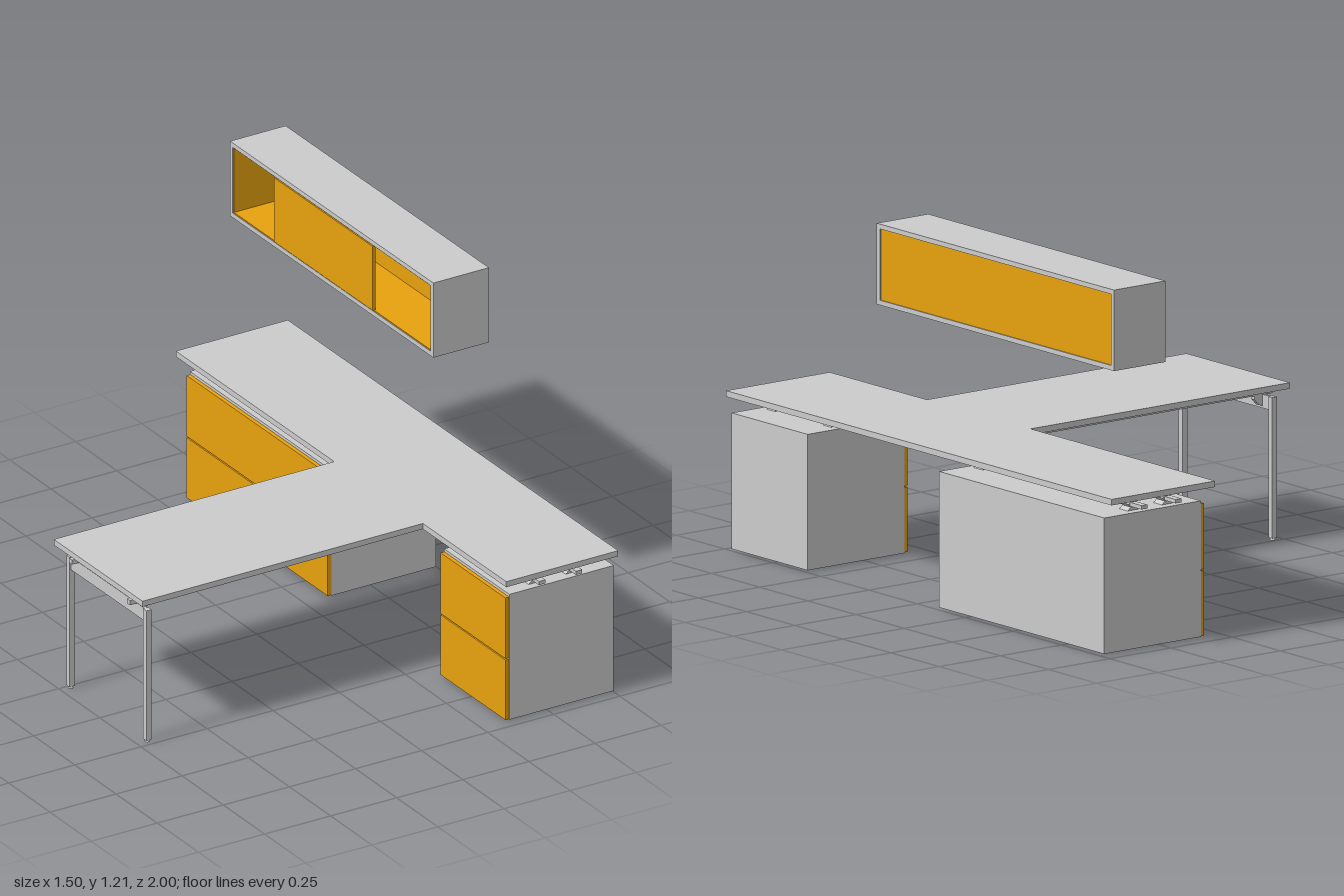
import * as THREE from 'three';

const grey = new THREE.MeshStandardMaterial({ color: 0xcccccc });
const orange = new THREE.MeshStandardMaterial({ color: 0xe8a20e });

// Box given by its extents along each axis
function box(parent, name, [x0, x1], [y0, y1], [z0, z1], material = grey) {
  const mesh = new THREE.Mesh(new THREE.BoxGeometry(x1 - x0, y1 - y0, z1 - z0), material);
  mesh.position.set((x0 + x1) / 2, (y0 + y1) / 2, (z0 + z1) / 2);
  mesh.name = name;
  parent.add(mesh);
  return mesh;
}

// Profile in x and y, extruded along z from z0 to z1
function prism(parent, name, points, z0, z1) {
  const shape = new THREE.Shape(points.map(([x, y]) => new THREE.Vector2(x, y)));
  const mesh = new THREE.Mesh(new THREE.ExtrudeGeometry(shape, { depth: z1 - z0, bevelEnabled: false }), grey);
  mesh.position.z = z0;
  mesh.name = name;
  parent.add(mesh);
}

function group(parent, name) {
  const g = new THREE.Group();
  g.name = name;
  parent.add(g);
  return g;
}

// Floor cabinet with two drawer fronts facing -x
function pedestal(parent, name, z) {
  const g = group(parent, name);
  box(g, 'carcass', [0.347, 0.743], [0.006, 0.454], z);
  for (const y of [[0.008, 0.222], [0.227, 0.444]]) {
    box(g, 'drawerFront', [0.333, 0.347], y, [z[0] + 0.002, z[1] - 0.002], orange);
  }
}

// Open wall cabinet with an orange lining and one sliding door
function wallCabinet(parent) {
  const g = group(parent, 'wallCabinet');
  const x = [0.527, 0.738], y = [0.945, 1.212], z = [-0.997, 0.227], t = 0.016;
  const yi = [y[0] + t, y[1] - t], zi = [z[0] + t, z[1] - t];
  box(g, 'bottomBoard', x, [y[0], yi[0]], z);
  box(g, 'topBoard', x, [yi[1], y[1]], z);
  box(g, 'backEnd', x, yi, [z[0], zi[0]]);
  box(g, 'frontEnd', x, yi, [zi[1], z[1]]);
  const xi = [0.53, 0.732], s = 0.003;
  box(g, 'liningBottom', xi, [yi[0], yi[0] + s], zi, orange);
  box(g, 'liningTop', xi, [yi[1] - s, yi[1]], zi, orange);
  box(g, 'liningBackEnd', xi, yi, [zi[0], zi[0] + s], orange);
  box(g, 'liningFrontEnd', xi, yi, [zi[1] - s, zi[1]], orange);
  box(g, 'rearPanel', [0.722, 0.734], yi, zi, orange);
  box(g, 'slidingDoor', [0.525, 0.535], [yi[0] + s, yi[1] - s], [-0.73, -0.135], orange);
}

// T-shaped top with its rails, supports and leg frame
function desk(parent) {
  const g = group(parent, 'desk');
  box(g, 'mainTop', [0.315, 0.74], [0.501, 0.521], [-0.987, 1.002]);
  box(g, 'sideTop', [-0.749, 0.315], [0.501, 0.521], [-0.034, 0.5]);

  // Long rails on winged supports over the cabinets
  for (const x of [0.46, 0.6]) {
    box(g, 'longRail', [x - 0.012, x + 0.012], [0.468, 0.481], [-0.98, 0.988]);
    for (const z of [0.92, 0.63, -0.15, -0.9]) {
      prism(g, 'railSupport', [
        [x - 0.022, 0.454], [x + 0.022, 0.454], [x + 0.009, 0.465], [x + 0.02, 0.476],
        [x + 0.008, 0.482], [x - 0.01, 0.488], [x - 0.018, 0.473], [x - 0.009, 0.465],
      ], z - 0.022, z + 0.022);
    }
  }

  // Side rails, with a gusset where each meets the leg frame
  for (const z of [0.41, 0.06]) {
    box(g, 'sideRail', [-0.745, 0.455], [0.472, 0.488], [z - 0.009, z + 0.009]);
    prism(g, 'gusset', [[-0.705, 0.435], [-0.69, 0.44], [-0.672, 0.46], [-0.672, 0.473], [-0.705, 0.473]],
      z - 0.008, z + 0.008);
    prism(g, 'railEnd', [[0.44, 0.472], [0.46, 0.455], [0.475, 0.475], [0.46, 0.495]], z - 0.008, z + 0.008);
  }

  // Leg frame
  for (const z of [0.472, 0.01]) {
    box(g, 'leg', [-0.723, -0.703], [0.008, 0.472], [z - 0.01, z + 0.01]);
    const foot = new THREE.Mesh(new THREE.CylinderGeometry(0.007, 0.009, 0.008, 16), grey);
    foot.position.set(-0.713, 0.004, z);
    foot.name = 'foot';
    g.add(foot);
  }
  box(g, 'apron', [-0.718, -0.708], [0.427, 0.472], [0.02, 0.462]);
}

export function createModel() {
  const model = new THREE.Group();
  model.name = 'workstation';
  const layout = group(model, 'layout');
  desk(layout);
  pedestal(layout, 'frontPedestal', [0.577, 0.97]);
  pedestal(layout, 'backPedestal', [-0.953, -0.1]);
  wallCabinet(layout);
  // The whole arrangement sits at a slight angle
  layout.rotation.y = 0.005;
  return model;
}
